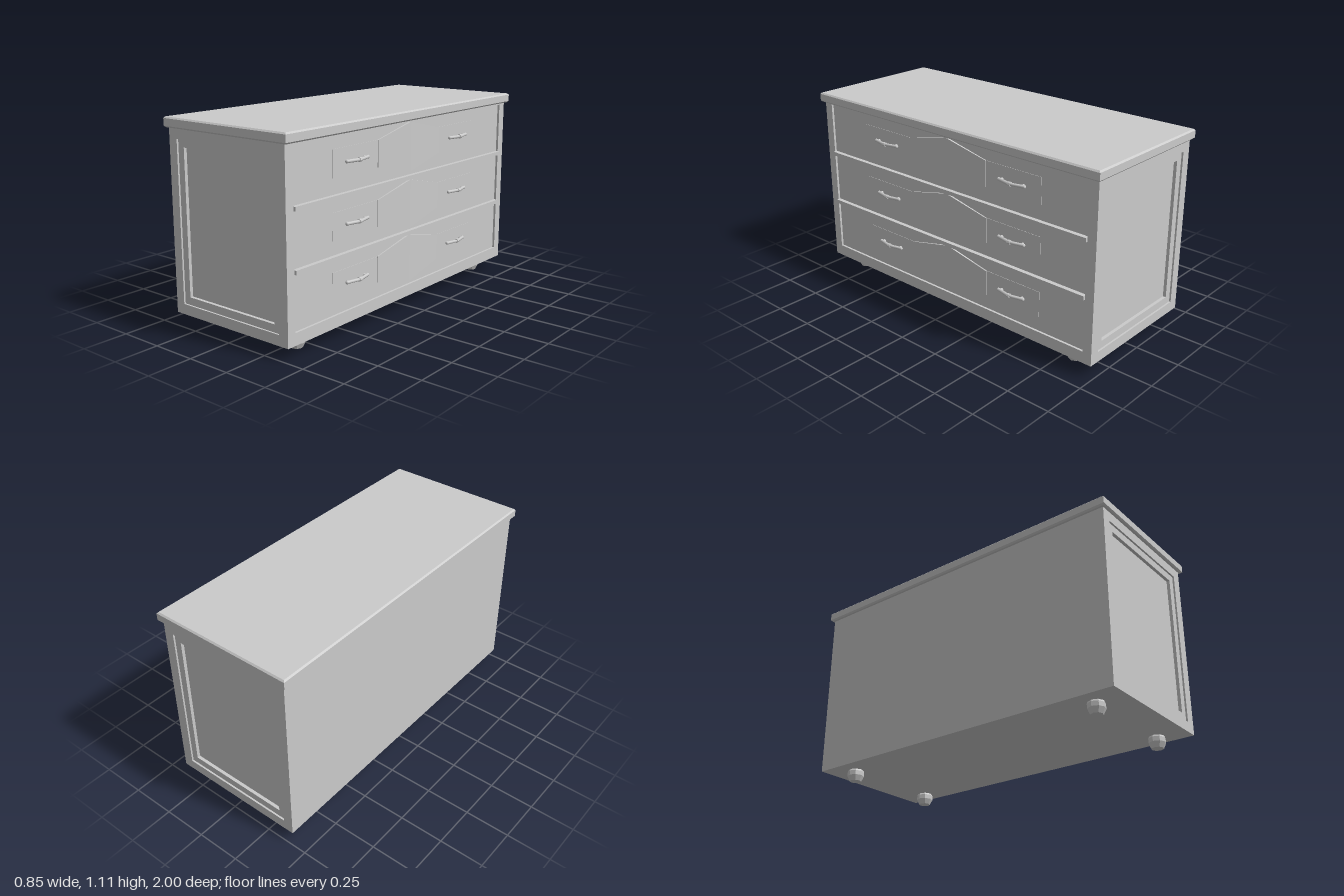
import * as THREE from 'three';

const material = new THREE.MeshStandardMaterial({ color: 0xcccccc, flatShading: true });
const smooth = new THREE.MeshStandardMaterial({ color: 0xcccccc });

const BODY = { x0: -0.405, x1: 0.393, y0: 0.065, y1: 1.05, z: 0.983 };
const FACE_X = 0.38; // plane of the drawer fronts
const CORE_Z = 0.955; // plane of the deepest end panels

function add(parent, name, geometry, x = 0, y = 0, z = 0, mat = material) {
  const mesh = new THREE.Mesh(geometry, mat);
  mesh.name = name;
  mesh.position.set(x, y, z);
  parent.add(mesh);
  return mesh;
}

// Box given by its limits on each axis
function addBox(parent, name, x0, x1, y0, y1, z0, z1) {
  return add(parent, name, new THREE.BoxGeometry(x1 - x0, y1 - y0, z1 - z0),
    (x0 + x1) / 2, (y0 + y1) / 2, (z0 + z1) / 2);
}

function polygon(points) {
  return new THREE.Shape(points.map(([x, y]) => new THREE.Vector2(x, y)));
}

const rect = (x0, x1, y0, y1) => polygon([[x0, y0], [x1, y0], [x1, y1], [x0, y1]]);

// Flat rectangular frame; limits are [x0, x1, y0, y1]
function frameGeometry(outer, inner, depth) {
  const shape = rect(...outer);
  shape.holes.push(rect(...inner));
  return new THREE.ExtrudeGeometry(shape, { depth, bevelEnabled: false });
}

// Raised half of the hexagonal ornament, rising to a ridge on the centre line
function hexagonHalf(side) {
  const points = [[0, -0.135], [side * 0.28, -0.072], [side * 0.28, 0.072], [0, 0.135]];
  const geometry = new THREE.ExtrudeGeometry(polygon(points), { depth: 0.006, bevelEnabled: false });
  const p = geometry.attributes.position;
  for (let i = 0; i < p.count; i++) {
    if (Math.abs(p.getX(i)) < 1e-4 && p.getZ(i) > 0) p.setZ(i, 0.011);
  }
  geometry.computeVertexNormals();
  return geometry;
}

// Bowed pull with two small posts and a central collar
function createHandle() {
  const handle = new THREE.Group();
  handle.name = 'handle';
  const curve = new THREE.CatmullRomCurve3([
    [-0.085, 0.012], [-0.055, 0.018], [-0.02, 0.026], [0, 0.028],
    [0.02, 0.026], [0.055, 0.018], [0.085, 0.012],
  ].map(([x, z]) => new THREE.Vector3(x, 0, z)));
  add(handle, 'handleBar', new THREE.TubeGeometry(curve, 16, 0.009, 8), 0, 0, 0, smooth);
  for (const s of [-1, 1]) {
    const tip = add(handle, 'handleTip', new THREE.SphereGeometry(0.0095, 8, 6), s * 0.085, 0, 0.012, smooth);
    tip.scale.x = 0.7;
    const post = add(handle, 'handlePost', new THREE.CylinderGeometry(0.007, 0.009, 0.016, 8), s * 0.07, 0, 0.008);
    post.rotation.x = Math.PI / 2;
  }
  const collar = add(handle, 'handleCollar', new THREE.CylinderGeometry(0.012, 0.012, 0.018, 8), 0, 0, 0.028);
  collar.rotation.z = Math.PI / 2;
  return handle;
}

// Drawer ornament and handles, built facing +z
function createDrawer() {
  const drawer = new THREE.Group();
  drawer.name = 'drawer';
  addBox(drawer, 'drawerPanel', -0.64, 0.64, -0.072, 0.072, -0.002, 0.002);
  for (const s of [-1, 1]) {
    add(drawer, 'hexagonOrnament', hexagonHalf(s));
    const handle = createHandle();
    handle.position.set(s * 0.46, 0, 0.002);
    drawer.add(handle);
  }
  return drawer;
}

export function createModel() {
  const model = new THREE.Group();
  model.name = 'chestOfDrawers';

  // Carcass
  addBox(model, 'carcass', BODY.x0, FACE_X, BODY.y0, BODY.y1, -CORE_Z, CORE_Z);

  // End frames, stepping inwards to the recessed panel
  const outer = [BODY.x0, BODY.x1, BODY.y0, BODY.y1];
  const middle = [-0.35, 0.335, 0.122, 0.996];
  const inner = [-0.31, 0.296, 0.164, 0.955];
  const step = 0.018;
  const depth = BODY.z - CORE_Z;
  for (const s of [-1, 1]) {
    add(model, 'endFrame', frameGeometry(outer, middle, depth), 0, 0, s > 0 ? CORE_Z : -BODY.z);
    add(model, 'endPanelBorder', frameGeometry(middle, inner, step), 0, 0, s > 0 ? CORE_Z : -CORE_Z - step);
  }

  // Frame around the drawers
  const front = add(model, 'drawerFrame', frameGeometry(
    [-CORE_Z, CORE_Z, BODY.y0, BODY.y1], [-0.93, 0.93, 0.13, 1.04], BODY.x1 - FACE_X), FACE_X);
  front.rotation.y = Math.PI / 2;

  // Rails between the drawers
  for (const y of [0.432, 0.74]) {
    addBox(model, 'drawerRail', FACE_X - 0.005, 0.404, y - 0.011, y + 0.011, -0.93, 0.93);
  }

  // Drawers
  for (const y of [0.282, 0.589, 0.905]) {
    const drawer = createDrawer();
    drawer.position.set(FACE_X, y, 0);
    drawer.rotation.y = Math.PI / 2;
    model.add(drawer);
  }

  // Top slab with chamfered edges
  const bevel = 0.008;
  const slab = new THREE.ExtrudeGeometry(
    rect(-0.425 + bevel, 0.416 - bevel, -1 + bevel, 1 - bevel),
    { depth: 0.055 - 2 * bevel, bevelSize: bevel, bevelThickness: bevel, bevelSegments: 1 });
  slab.rotateX(-Math.PI / 2);
  add(model, 'topSlab', slab, 0, 1.05 + bevel, 0);

  // Turned feet
  const footProfile = [[0, 0], [0.033, 0], [0.047, 0.03], [0.047, 0.055], [0.04, 0.068]]
    .map(([r, y]) => new THREE.Vector2(r, y));
  for (const x of [-0.293, 0.295]) {
    for (const z of [-0.815, 0.818]) {
      add(model, 'foot', new THREE.LatheGeometry(footProfile, 8), x, 0, z);
    }
  }
  return model;
}
